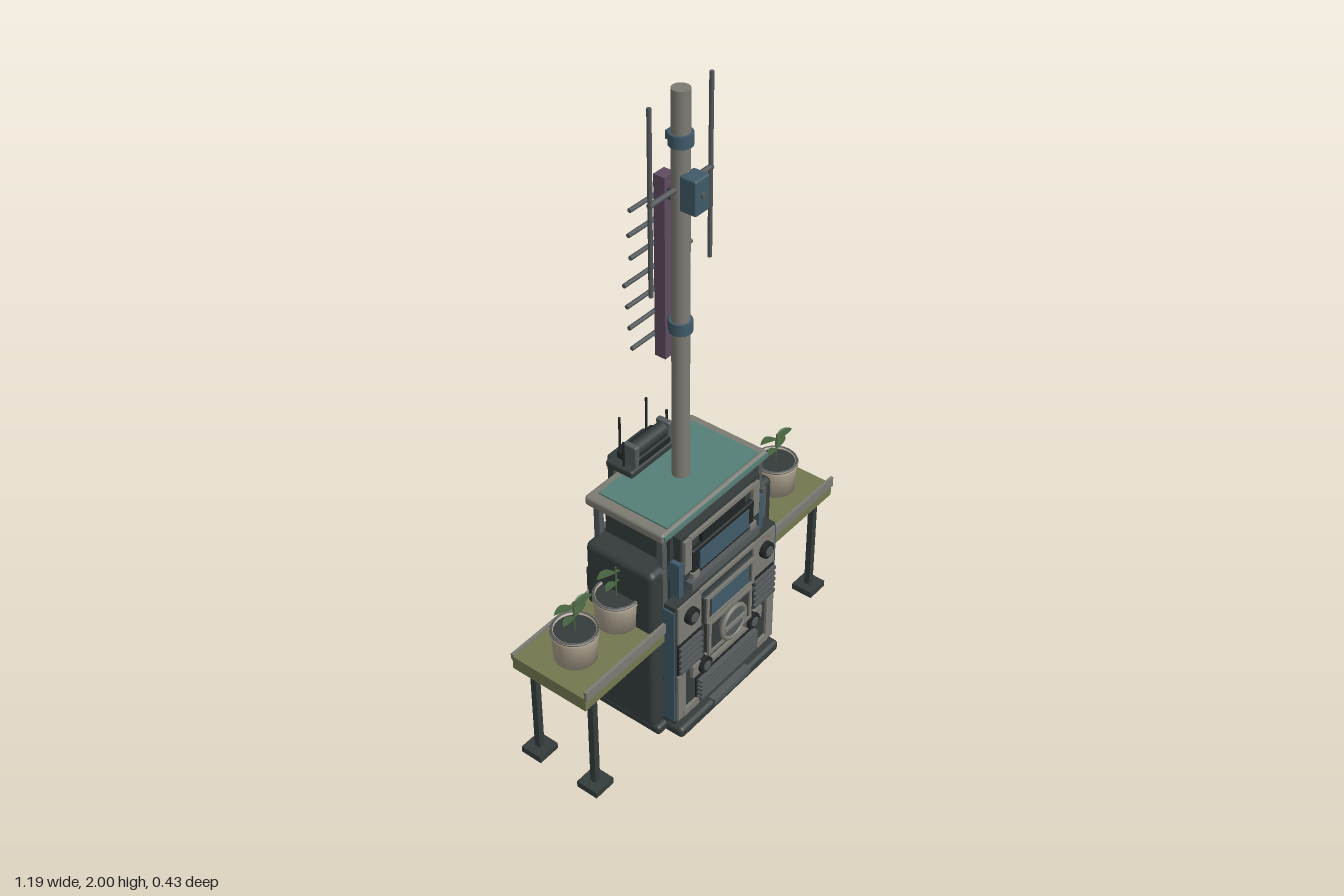
import * as THREE from 'three';
import { RoundedBoxGeometry } from 'three/addons/geometries/RoundedBoxGeometry.js';

const paint = (name, color, side = THREE.FrontSide) => {
  const m = new THREE.MeshStandardMaterial({ color, side });
  m.name = name;
  return m;
};

export function createModel() {
  const root = new THREE.Group();
  root.name = 'plantStationWithMast';
  const dark = paint('dark casing', 0x353c3c);
  const black = paint('black rubber', 0x202525);
  const gray = paint('warm gray metal', 0x7c7b73);
  const steel = paint('dull steel', 0x53585a);
  const teal = paint('teal panel', 0x557f77);
  const olive = paint('olive shelf', 0x74784f);
  const blue = paint('slate blue', 0x405a68);
  const purple = paint('dusty purple', 0x5e4b60);
  const beige = paint('beige pot', 0xb3a793);
  const green = paint('leaf green', 0x48633f, THREE.DoubleSide);

  let parent = root;
  const group = (name, build) => {
    const g = new THREE.Group();
    g.name = name;
    const previous = parent;
    previous.add(g);
    parent = g;
    build(g);
    parent = previous;
    return g;
  };
  const add = (name, geo, mat, x = 0, y = 0, z = 0) => {
    const m = new THREE.Mesh(geo, mat);
    m.name = name;
    m.position.set(x, y, z);
    parent.add(m);
    return m;
  };
  // Box given by its limits on each axis, optionally with rounded edges
  const box = (name, mat, [x0, x1], [y0, y1], [z0, z1], r = 0) => {
    const s = [x1 - x0, y1 - y0, z1 - z0];
    const geo = r ? new RoundedBoxGeometry(...s, 2, r) : new THREE.BoxGeometry(...s);
    return add(name, geo, mat, (x0 + x1) / 2, (y0 + y1) / 2, (z0 + z1) / 2);
  };
  const pairBox = (name, mat, [x0, x1], y, z, r) => {
    box(name, mat, [x0, x1], y, z, r);
    box(name, mat, [-x1, -x0], y, z, r);
  };
  const cyl = (name, mat, r, h, x, y, z, axis = 'y', n = 16) => {
    const m = add(name, new THREE.CylinderGeometry(r, r, h, n), mat, x, y, z);
    if (axis === 'x') m.rotation.z = Math.PI / 2;
    if (axis === 'z') m.rotation.x = Math.PI / 2;
    return m;
  };
  // Rectangular frame with an open middle, facing the front
  const frame = (name, mat, w, h, t, d, x, y, z) => {
    const s = new THREE.Shape();
    const rect = (p, a, b) => p.moveTo(-a, -b).lineTo(a, -b).lineTo(a, b).lineTo(-a, b).closePath();
    rect(s, w / 2, h / 2);
    s.holes.push(rect(new THREE.Path(), w / 2 - t, h / 2 - t));
    return add(name, new THREE.ExtrudeGeometry(s, { depth: d, bevelEnabled: false }), mat, x, y, z);
  };

  group('cabinet', () => {
    box('base', dark, [-0.245, 0.245], [0, 0.04], [-0.195, 0.2], 0.015);
    box('wideBase', dark, [-0.28, 0.28], [0.005, 0.04], [-0.14, 0.14], 0.012);
    box('lowerBody', dark, [-0.24, 0.24], [0.03, 0.49], [-0.165, 0.145], 0.008);
    box('upperBody', dark, [-0.2, 0.2], [0.48, 0.738], [-0.115, 0.12]);
    pairBox('sidePod', dark, [0.2, 0.285], [0.03, 0.64], [-0.125, 0.125], 0.02);
    pairBox('sidePodPanel', steel, [0.225, 0.245], [0.5, 0.63], [0.118, 0.13]);
    for (const z of [0.11, -0.12]) pairBox('lidPost', steel, [0.214, 0.234], [0.48, 0.74], [z - 0.01, z + 0.01]);
    box('lid', gray, [-0.245, 0.245], [0.735, 0.769], [-0.155, 0.132], 0.01);
    box('lidPanel', teal, [-0.213, 0.213], [0.766, 0.774], [-0.127, 0.12]);
    box('lidFrontTrim', teal, [-0.24, 0.24], [0.748, 0.764], [0.128, 0.135]);
    box('backPanel', blue, [-0.145, 0.145], [0.05, 0.385], [-0.169, -0.16]);
    pairBox('backFoot', dark, [0.17, 0.235], [0.01, 0.06], [-0.19, -0.15], 0.01);
    pairBox('backDuct', steel, [0.15, 0.185], [0.48, 0.62], [-0.15, -0.115]);
  });

  group('lowerFrontPanel', () => {
    box('frontPlate', dark, [-0.24, 0.24], [0.045, 0.515], [0.13, 0.17]);
    pairBox('frontSideTrim', blue, [0.24, 0.246], [0.06, 0.5], [0.13, 0.17]);
    pairBox('frontEdge', gray, [0.2, 0.235], [0.06, 0.24], [0.165, 0.178]);
    pairBox('shoulderPlate', gray, [0.125, 0.232], [0.37, 0.51], [0.165, 0.176]);
    pairBox('lowerBracket', gray, [0.135, 0.21], [0.06, 0.085], [0.165, 0.18]);
    pairBox('middleBracket', gray, [0.09, 0.17], [0.19, 0.235], [0.165, 0.182]);
    box('crossBar', gray, [-0.13, 0.13], [0.185, 0.2], [0.165, 0.182]);
    // Louvres beside the dial and a grille below it
    pairBox('louvreBack', black, [0.125, 0.232], [0.245, 0.365], [0.165, 0.176]);
    for (let i = 0; i < 5; i++) pairBox('louvreSlat', steel, [0.128, 0.23], [0.252 + i * 0.023, 0.264 + i * 0.023], [0.17, 0.186]);
    box('grilleBack', black, [-0.145, 0.145], [0.075, 0.165], [0.165, 0.174]);
    for (let i = 0; i < 5; i++) box('grilleSlat', steel, [-0.14, 0.14], [0.08 + i * 0.017, 0.09 + i * 0.017], [0.17, 0.192]);
    // Central dial
    box('dialHousing', dark, [-0.105, 0.105], [0.24, 0.365], [0.165, 0.185], 0.008);
    frame('dialFrame', gray, 0.21, 0.13, 0.012, 0.008, 0, 0.303, 0.182);
    cyl('dialFace', steel, 0.055, 0.02, 0, 0.307, 0.193, 'z', 24);
    add('dialRing', new THREE.TorusGeometry(0.055, 0.008, 8, 28), gray, 0, 0.307, 0.2);
    box('dialBar', gray, [-0.05, 0.05], [0.3, 0.314], [0.2, 0.209]);
    // Small screen with a frame
    box('screenHousing', dark, [-0.12, 0.12], [0.37, 0.475], [0.165, 0.184], 0.006);
    frame('screenFrame', gray, 0.23, 0.1, 0.012, 0.008, 0, 0.423, 0.181);
    box('screen', blue, [-0.09, 0.09], [0.39, 0.455], [0.18, 0.187]);
    for (const [x, y] of [[0.18, 0.455], [0.118, 0.212]])
      for (const s of [1, -1]) {
        cyl('knob', black, 0.027, 0.02, s * x, y, 0.183, 'z');
        cyl('knobCap', steel, 0.016, 0.02, s * x, y, 0.187, 'z');
      }
    box('basePlate', steel, [-0.09, 0.09], [0.026, 0.046], [0.18, 0.204]);
  });

  group('upperFrontPanel', () => {
    box('upperPlate', dark, [-0.185, 0.185], [0.51, 0.725], [0.11, 0.145]);
    pairBox('upperSideTrim', blue, [0.18, 0.2], [0.5, 0.64], [0.115, 0.152]);
    pairBox('upperBracket', gray, [0.145, 0.175], [0.59, 0.71], [0.14, 0.155]);
    box('topBar', gray, [-0.15, 0.15], [0.7, 0.714], [0.14, 0.155]);
    box('topSign', black, [-0.1, 0.1], [0.665, 0.7], [0.14, 0.157]);
    box('displayHousing', black, [-0.145, 0.145], [0.56, 0.66], [0.14, 0.16], 0.006);
    box('display', blue, [-0.115, 0.115], [0.575, 0.645], [0.155, 0.163]);
    pairBox('displayCorner', gray, [0.12, 0.15], [0.56, 0.58], [0.15, 0.166]);
    box('lowerSign', steel, [-0.16, 0.16], [0.525, 0.552], [0.14, 0.17]);
    box('seamBar', gray, [-0.13, 0.13], [0.5, 0.513], [0.14, 0.178]);
  });

  group('shelf', () => {
    box('shelfBoard', olive, [-0.593, 0.593], [0.372, 0.417], [-0.135, 0.135]);
    pairBox('frontRail', gray, [0.24, 0.593], [0.41, 0.445], [0.131, 0.141]);
    pairBox('backRail', gray, [0.24, 0.593], [0.405, 0.425], [-0.141, -0.131]);
    for (const z of [-0.108, 0.108]) {
      pairBox('shelfLeg', dark, [0.525, 0.545], [0.015, 0.375], [z - 0.01, z + 0.01]);
      pairBox('shelfFoot', dark, [0.497, 0.573], [0, 0.022], [z - 0.037, z + 0.037]);
    }
  });

  // Potted seedlings
  const potProfile = [[0, 0], [0.063, 0], [0.067, 0.085], [0.07, 0.088], [0.07, 0.105], [0.061, 0.105], [0.061, 0.095]]
    .map(([x, y]) => new THREE.Vector2(x, y));
  const leafShape = new THREE.Shape();
  leafShape.moveTo(0, 0).quadraticCurveTo(0.03, 0.034, 0.072, 0).quadraticCurveTo(0.035, -0.03, 0, 0);
  const leafGeo = new THREE.ShapeGeometry(leafShape, 6).rotateX(-Math.PI / 2);
  const lp = leafGeo.attributes.position;
  for (let i = 0; i < lp.count; i++) lp.setY(i, 0.01 * Math.sin(lp.getX(i) * 35) + Math.abs(lp.getZ(i)) * 0.3);
  leafGeo.computeVertexNormals();
  for (const x of [-0.476, -0.295, 0.295, 0.476])
    group('pottedPlant', (g) => {
      g.position.set(x, 0.415, 0);
      add('pot', new THREE.LatheGeometry(potProfile, 24), beige);
      cyl('soil', dark, 0.062, 0.01, 0, 0.094, 0, 'y', 24);
      add('potRim', new THREE.TorusGeometry(0.066, 0.005, 6, 24).rotateX(Math.PI / 2), steel, 0, 0.102, 0);
      cyl('stem', green, 0.003, 0.11, 0, 0.15, 0, 'y', 6);
      for (const [y, turn, scale] of [[0.145, 0.2, 0.9], [0.15, Math.PI + 0.2, 0.85], [0.182, -0.15, 0.95], [0.188, Math.PI - 0.15, 1]]) {
        const leaf = add('leaf', leafGeo, green, 0, y, 0);
        leaf.rotation.set(0, turn, 0.08);
        leaf.scale.setScalar(scale);
      }
    });

  group('mast', () => {
    cyl('mastPole', gray, 0.026, 1.235, 0, 1.3825, 0, 'y', 20);
    for (const y of [1.29, 1.86]) {
      cyl('mastClamp', blue, 0.034, 0.036, 0, y, 0, 'y', 20);
      box('clampBolt', blue, [-0.012, 0.012], [y - 0.012, y + 0.012], [-0.042, 0.03]);
    }
    // Front box carrying two upright rods
    box('mastBox', blue, [-0.03, 0.03], [1.665, 1.77], [0.018, 0.072], 0.006);
    cyl('boxPort', steel, 0.01, 0.01, 0, 1.72, 0.073, 'z', 12);
    cyl('rodArm', steel, 0.008, 0.26, 0, 1.72, 0, 'x', 8);
    for (const s of [1, -1]) cyl('uprightRod', steel, 0.0065, 0.55, s * 0.125, 1.72, 0, 'y', 8);
    // Ladder aerial behind the pole
    box('aerialBoom', purple, [-0.022, 0.022], [1.17, 1.74], [-0.073, -0.036]);
    [0.115, 0.125, 0.133, 0.143, 0.115, 0.122, 0.115].forEach((half, i) =>
      cyl('aerialElement', steel, 0.0065, half * 2, 0, 1.24 + i * 0.072, -0.077, 'x', 8));
    for (const y of [1.29, 1.69]) box('boomMount', dark, [-0.012, 0.012], [y - 0.015, y + 0.015], [-0.04, -0.02]);
    const path = [[0.02, 1.67, 0.03], [0.034, 1.62, 0], [0.042, 1.5, -0.012], [0.034, 1.29, -0.018], [0.04, 1.1, -0.012], [0.034, 0.95, -0.01], [0.03, 0.775, -0.03]];
    const curve = new THREE.CatmullRomCurve3(path.map((p) => new THREE.Vector3(...p)));
    add('cable', new THREE.TubeGeometry(curve, 40, 0.006, 6), black);
  });

  // Radio unit hung on the back edge of the lid
  group('backRadio', () => {
    box('radioTray', dark, [-0.11, 0.11], [0.77, 0.795], [-0.19, -0.09], 0.008);
    box('radioBody', black, [-0.08, 0.08], [0.79, 0.82], [-0.175, -0.095], 0.008);
    cyl('radioRoll', dark, 0.022, 0.13, 0, 0.838, -0.12, 'x');
    pairBox('radioEar', steel, [0.065, 0.085], [0.79, 0.865], [-0.145, -0.095], 0.006);
    box('radioSlab', dark, [-0.085, 0.085], [0.56, 0.79], [-0.208, -0.15], 0.01);
    pairBox('radioSideStrip', olive, [0.085, 0.091], [0.58, 0.76], [-0.175, -0.115]);
    box('radioMount', steel, [-0.07, 0.07], [0.58, 0.77], [-0.155, -0.11]);
    box('radioFace', purple, [-0.058, 0.058], [0.6, 0.765], [-0.214, -0.206]);
    for (let i = 0; i < 6; i++) box('coolingRib', black, [-0.062, 0.062], [0.61 + i * 0.027, 0.62 + i * 0.027], [-0.219, -0.206]);
    for (const s of [1, -1]) {
      cyl('tallWhip', black, 0.004, 0.14, s * 0.06, 0.855, -0.175, 'y', 6);
      cyl('shortWhip', black, 0.004, 0.09, s * 0.098, 0.835, -0.13, 'y', 6);
    }
  });

  return root;
}
